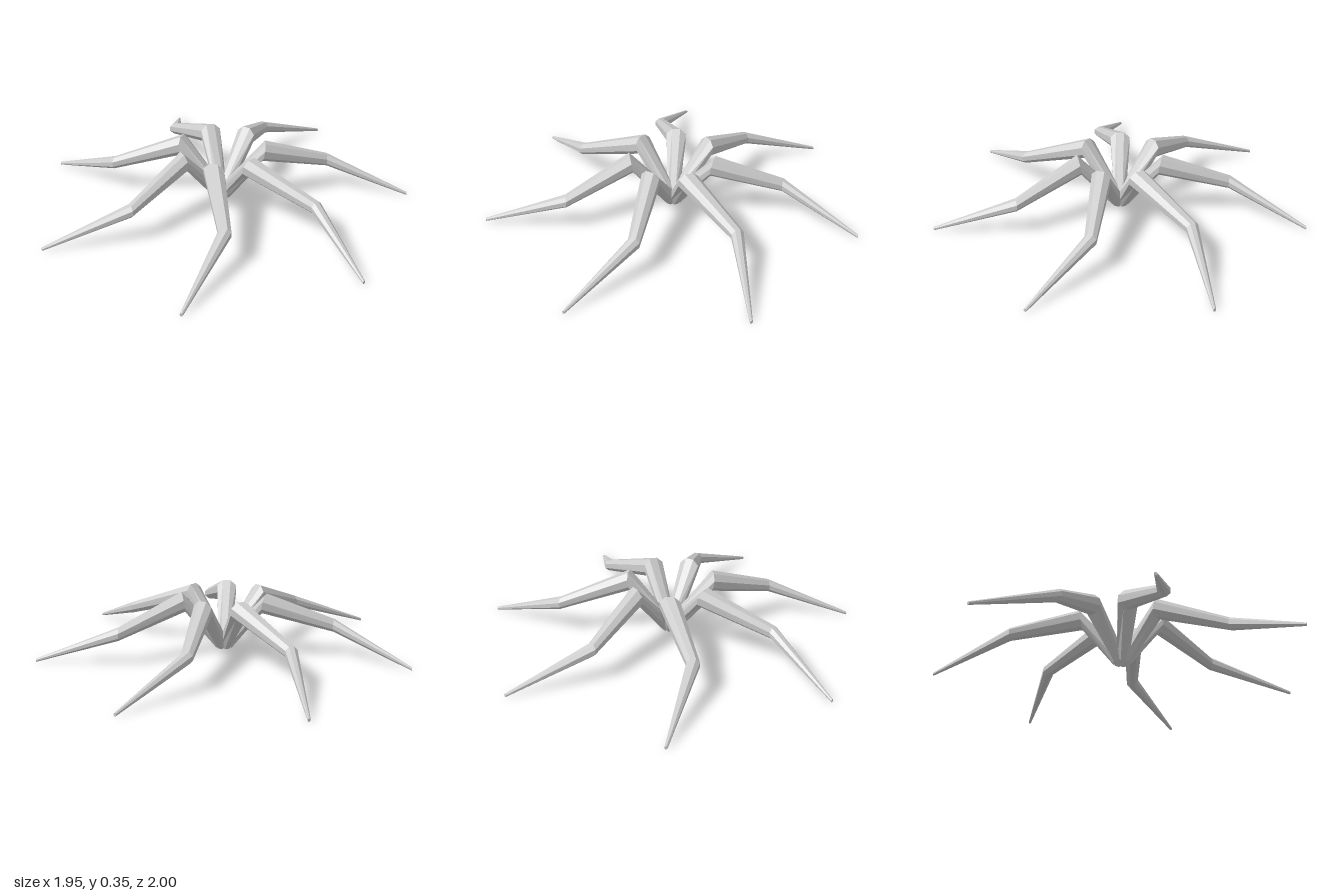
import * as THREE from 'three';

const SIDES = 8;
const LEGS = 7;

// Rings along one leg: r = distance out, y = height, z = sideways offset,
// h / w = half height and half width, lean = outward shift of the lower edge.
const RINGS = [
  { r: 0.022, y: 0.06, z: 0, h: 0.03, w: 0.034, lean: 0.026 },
  { r: 0.225, y: 0.3, z: 0, h: 0.054, w: 0.058, lean: -0.008 },
  { r: 0.587, y: 0.172, z: -0.121, h: 0.035, w: 0.036, lean: 0 },
  { r: 1.025, y: 0.009, z: 0, h: 0.009, w: 0.008, lean: 0 },
];

// Lofts the rings into a closed, faceted leg pointing along +x.
function legGeometry() {
  const positions = [];
  const index = [];
  for (const ring of RINGS) {
    for (let k = 0; k < SIDES; k++) {
      const a = ((k + 0.5) / SIDES) * Math.PI * 2;
      const up = Math.cos(a);
      positions.push(ring.r - ring.lean * up, ring.y + ring.h * up, ring.z + ring.w * Math.sin(a));
    }
  }
  const last = (RINGS.length - 1) * SIDES;
  for (let k = 0; k < SIDES; k++) {
    const n = (k + 1) % SIDES;
    for (let i = 0; i < last; i += SIDES) {
      index.push(i + k, i + n, i + SIDES + n, i + k, i + SIDES + n, i + SIDES + k);
    }
    // end caps
    if (k > 0 && k < SIDES - 1) {
      index.push(0, n, k, last, last + k, last + n);
    }
  }
  const geometry = new THREE.BufferGeometry();
  geometry.setAttribute('position', new THREE.Float32BufferAttribute(positions, 3));
  geometry.setIndex(index);
  geometry.computeVertexNormals();
  return geometry;
}

export function createModel() {
  const model = new THREE.Group();
  model.name = 'sevenLeggedClaw';
  const material = new THREE.MeshStandardMaterial({ color: 0xcccccc, flatShading: true });
  const geometry = legGeometry();

  // Legs fanned evenly around the hub
  for (let i = 0; i < LEGS; i++) {
    const leg = new THREE.Mesh(geometry, material);
    leg.name = `leg${i + 1}`;
    leg.rotation.y = (i / LEGS) * Math.PI * 2;
    leg.position.x = -0.051;
    model.add(leg);
  }
  return model;
}
